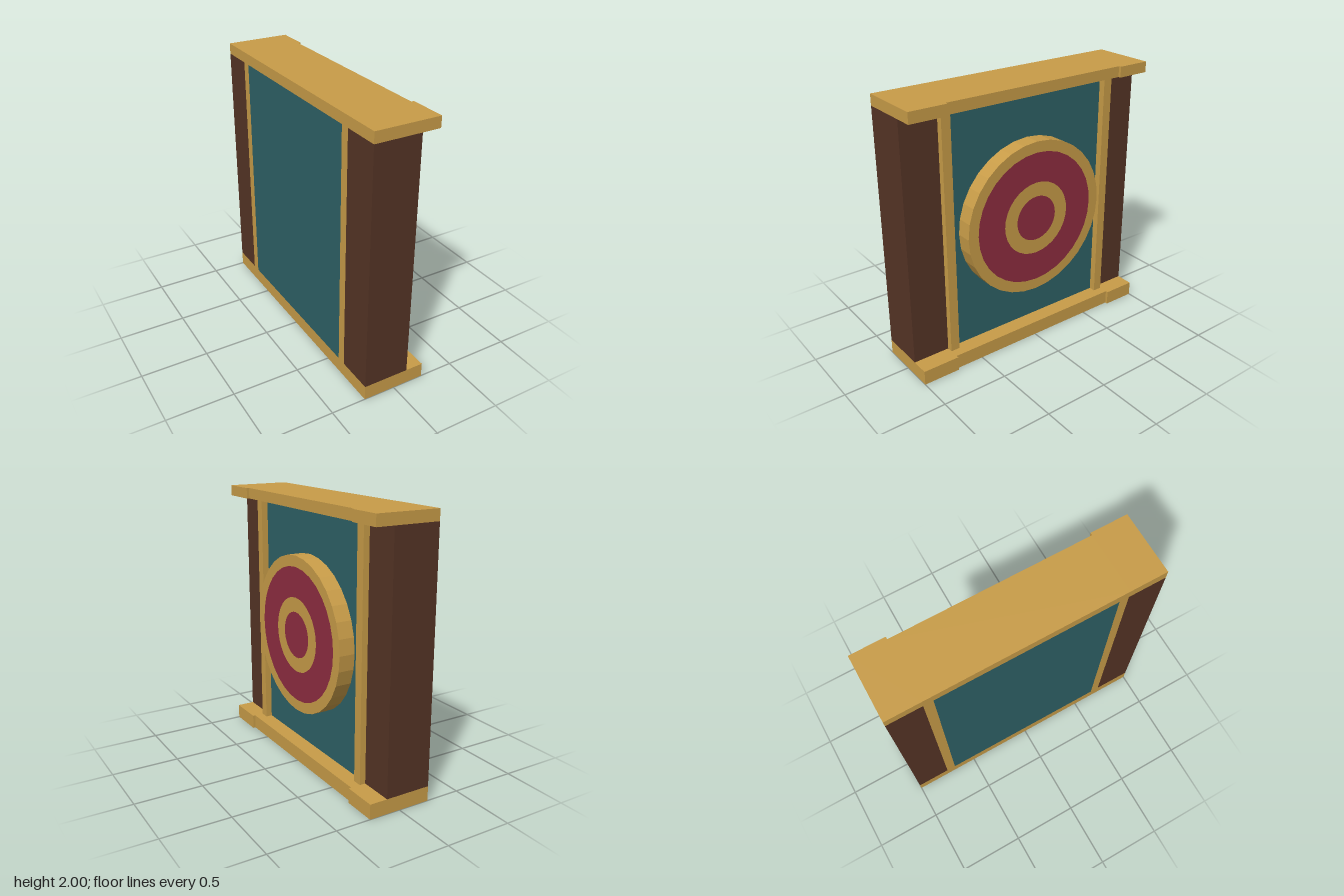
import * as THREE from 'three';

const material = (name, color) => {
  const m = new THREE.MeshStandardMaterial({ color });
  m.name = name;
  return m;
};

export function createModel() {
  const wood = material('golden wood', 0xc89c48);
  const brown = material('dark brown', 0x553425);
  const teal = material('teal', 0x2e6166);
  const crimson = material('crimson', 0x8e2c40);

  const model = new THREE.Group();
  model.name = 'targetPanel';

  // Box given by its extents on each axis
  const box = (name, mat, [x0, x1], [y0, y1], [z0, z1], parent = model) => {
    const mesh = new THREE.Mesh(new THREE.BoxGeometry(x1 - x0, y1 - y0, z1 - z0), mat);
    mesh.position.set((x0 + x1) / 2, (y0 + y1) / 2, (z0 + z1) / 2);
    mesh.name = name;
    parent.add(mesh);
  };

  const back = -0.24;
  const inner = [0.11, 1.92];
  const zBack = -0.745, zFront = 0.72;

  // Rails: a slightly narrower middle between two full-depth end blocks
  for (const [name, y] of [['bottomRail', [0, 0.11]], ['topRail', [1.92, 2]]]) {
    const rail = new THREE.Group();
    rail.name = name;
    model.add(rail);
    box('railMiddle', wood, [back, 0.22], y, [zBack, zFront], rail);
    box('railFrontEnd', wood, [back, 0.24], y, [zFront, 1], rail);
    box('railBackEnd', wood, [back, 0.24], y, [-1, zBack], rail);
  }

  // Posts, trim strips and the recessed panel between them
  box('frontPost', brown, [back, 0.105], inner, [zFront, 1]);
  box('backPost', brown, [back, 0.105], inner, [-1, zBack]);
  box('frontTrim', wood, [back, 0.15], inner, [0.65, zFront]);
  box('backTrim', wood, [back, 0.15], inner, [zBack, -0.675]);
  box('panel', teal, [back, 0.1], inner, [-0.675, 0.65]);

  // Round target facing +x: faceted rim plus flat concentric rings
  const target = new THREE.Group();
  target.name = 'target';
  target.position.set(0.1, 1.003, 0);
  target.rotation.y = Math.PI / 2;
  model.add(target);

  const depth = 0.12, sides = 32;
  const radii = [0.587, 0.505, 0.28, 0.172, 0];
  const rimGeometry = new THREE.CylinderGeometry(radii[0], radii[0], depth, sides, 1, true)
    .rotateX(Math.PI / 2).translate(0, 0, depth / 2).toNonIndexed();
  rimGeometry.computeVertexNormals();
  const rim = new THREE.Mesh(rimGeometry, wood);
  rim.name = 'targetRim';
  target.add(rim);

  for (let i = 0; i < 4; i++) {
    const geometry = radii[i + 1] > 0
      ? new THREE.RingGeometry(radii[i + 1], radii[i], sides)
      : new THREE.CircleGeometry(radii[i], sides);
    const ring = new THREE.Mesh(geometry, i % 2 ? crimson : wood);
    ring.position.z = depth;
    ring.name = i < 3 ? `targetRing${i + 1}` : 'bullseye';
    target.add(ring);
  }

  return model;
}
